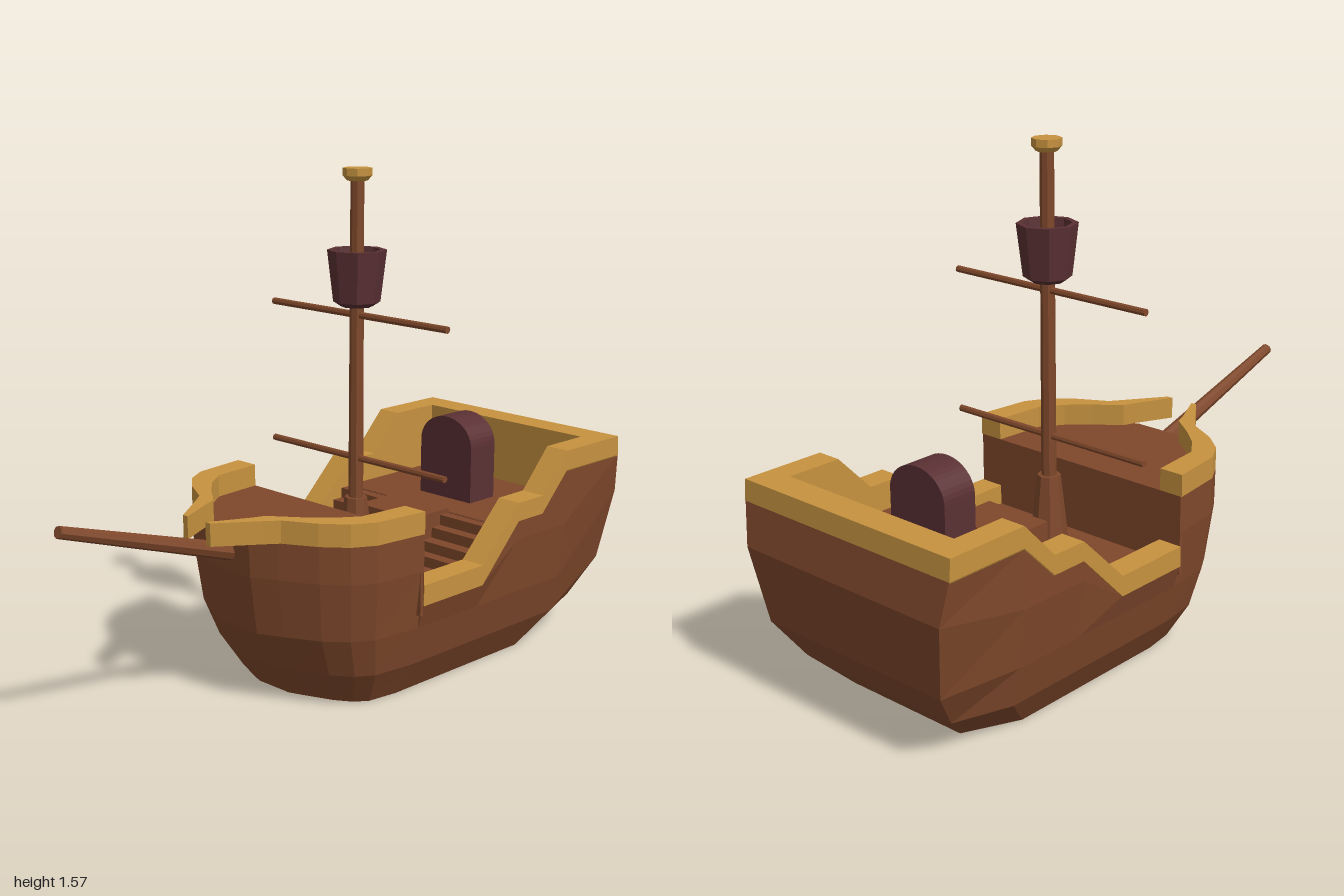
import * as THREE from 'three';

const mat = (name, color) => new THREE.MeshStandardMaterial({ name, color, flatShading: true });

// Joins cross-sections; each section is a list of [x, y, z] points.
function loft(sections, { closeSection = false, closeLoop = false, caps = false } = {}) {
  const pos = [], n = sections.length, m = sections[0].length;
  const tri = (...p) => p.forEach((v) => pos.push(...v));
  for (let i = 0; i < (closeLoop ? n : n - 1); i++) {
    const s = sections[i], t = sections[(i + 1) % n];
    for (let j = 0; j < (closeSection ? m : m - 1); j++) {
      const k = (j + 1) % m;
      tri(s[j], t[j], t[k]);
      tri(s[j], t[k], s[k]);
    }
  }
  if (caps) {
    const a = sections[0], b = sections[n - 1];
    for (let j = 1; j < m - 1; j++) {
      tri(a[0], a[j], a[j + 1]);
      tri(b[0], b[j + 1], b[j]);
    }
  }
  const g = new THREE.BufferGeometry();
  g.setAttribute('position', new THREE.Float32BufferAttribute(pos, 3));
  g.computeVertexNormals();
  return g;
}

// Mirrored sections in reverse order, so that the winding stays outward.
const mirrorZ = (sections) => sections.map((s) => s.map(([x, y, z]) => [x, y, -z])).reverse();

// Horizontal slab with its top at y, from one half of an outline.
function slab(half, y, thick) {
  const pts = [...half, ...half.map(([x, z]) => [x, -z]).reverse()];
  const g = new THREE.ExtrudeGeometry(new THREE.Shape(pts.map(([x, z]) => new THREE.Vector2(x, -z))),
    { depth: thick, bevelEnabled: false });
  return g.rotateX(-Math.PI / 2).translate(0, y - thick, 0);
}

export function createModel() {
  const ship = new THREE.Group();
  ship.name = 'ship';
  const wood = mat('brown wood', 0x7f482b);
  const gold = mat('golden trim', 0xc6923f);
  const maroon = mat('dark maroon wood', 0x5a3033);

  const add = (name, geo, material, parent = ship) => {
    const mesh = new THREE.Mesh(geo, material);
    mesh.name = name;
    parent.add(mesh);
    return mesh;
  };
  const box = (name, x0, x1, y0, y1, z0, z1, material = wood) =>
    add(name, new THREE.BoxGeometry(x1 - x0, y1 - y0, z1 - z0)
      .translate((x0 + x1) / 2, (y0 + y1) / 2, (z0 + z1) / 2), material);

  // Hull stations from bow to stern: x, half width, height of the side
  const stations = [
    [-0.39, 0.09, 0.535], [-0.35, 0.17, 0.535], [-0.29, 0.28, 0.535], [-0.23, 0.35, 0.535],
    [-0.16, 0.39, 0.535], [0.02, 0.41, 0.535], [0.02, 0.41, 0.31], [0.29, 0.41, 0.31],
    [0.46, 0.41, 0.48], [0.58, 0.41, 0.48], [0.7, 0.41, 0.6], [0.98, 0.41, 0.6],
  ];
  // Hull levels: y, bow x, stern x, half width amidships, half width at the stern
  const levels = [
    [0, -0.21, 0.77, 0.3, 0.22], [0.11, -0.29, 0.88, 0.362, 0.3], [0.235, -0.355, 0.965, 0.388, 0.35],
    [0.42, -0.385, 1.0, 0.41, 0.39], [1, -0.39, 0.98, 0.41, 0.41],
  ];
  const side = stations.map(([x, z, top], i) => levels.map(([y, bow, stern, w, ws], k) => {
    const last = i === stations.length - 1;
    let px = x;
    if (x < 0.02) px = 0.02 + (x - 0.02) * (0.02 - bow) / 0.41;
    if (last) px = stern;
    if (x === 0.7 && k === 0) px = 0.6;
    const py = k === 4 ? top : Math.min(k === 3 && last ? 0.47 : y, top);
    return [px, py, last ? ws : z * w / 0.41];
  }));
  add('hull', loft([...side, ...mirrorZ(side)], { closeLoop: true }), wood);
  const keel = side.filter((s, i) => i !== 6).map((s) => [s[0][0], s[0][2]]);
  add('hullBottom', slab(keel, 0.01, 0.01), wood);

  // Decks and the wall below the foredeck
  add('foredeck', slab(stations.slice(0, 6).map(([x, z]) => [x, z - 0.003]), 0.535, 0.03), wood);
  box('foredeckWall', 0.008, 0.02, 0.28, 0.534, -0.408, 0.408);
  box('mainDeck', 0.0, 0.48, 0.28, 0.311, -0.39, 0.39);
  box('aftDeck', 0.46, 0.92, 0.42, 0.45, -0.36, 0.36);
  box('aftDeckWall', 0.455, 0.465, 0.3, 0.449, -0.36, 0.36);

  // Stairs on both sides of a landing
  box('landing', 0.29, 0.46, 0.3, 0.462, -0.12, 0.12);
  for (const s of [-1, 1]) {
    [0.295, 0.335, 0.38, 0.42].forEach((x, i) => {
      const z = [s * 0.12, s * 0.34].sort((a, b) => a - b);
      box('step', x, 0.46, 0.3, 0.311 + 0.034 * (i + 1), z[0], z[1]);
    });
  }

  // Bow rails: x, outer z, inner z
  const bow = [
    [-0.51, 0.06, 0.04], [-0.385, 0.15, 0.1], [-0.345, 0.18, 0.115], [-0.29, 0.28, 0.2],
    [-0.23, 0.35, 0.265], [-0.16, 0.39, 0.315], [0.02, 0.412, 0.33],
  ].map(([x, o, n], i) => {
    const xi = i > 2 && i < 6 ? x + 0.01 : x;
    return [[x, 0.535, o], [x, 0.605, o], [xi, 0.605, n], [xi, 0.535, n]];
  });
  add('bowRailLeft', loft(bow, { closeSection: true, caps: true }), gold);
  add('bowRailRight', loft(mirrorZ(bow), { closeSection: true, caps: true }), gold);

  // Stepped rail around the middle and stern: x, inner x, outer bottom, top, inner bottom
  const rail = [
    [0.02, 0.02, 0.31, 0.375, 0.31], [0.29, 0.29, 0.31, 0.375, 0.31], [0.46, 0.46, 0.48, 0.54, 0.445],
    [0.58, 0.58, 0.48, 0.54, 0.445], [0.7, 0.7, 0.6, 0.665, 0.445], [0.98, 0.88, 0.6, 0.665, 0.445],
  ].map(([x, xi, ob, top, ib]) => [[x, ob, 0.412], [x === 0.98 ? 0.975 : x, top, 0.412], [xi, top, 0.33], [xi, ib, 0.33]]);
  add('sternRail', loft([...rail, ...mirrorZ(rail)], { closeSection: true, caps: true }), gold);

  // Round-topped cabin hatch
  const arch = new THREE.Shape();
  arch.moveTo(-0.11, 0.44);
  arch.lineTo(0.11, 0.44);
  arch.lineTo(0.11, 0.635);
  arch.absellipse(0, 0.635, 0.11, 0.093, 0, Math.PI, false);
  add('cabinHatch', new THREE.ExtrudeGeometry(arch, { depth: 0.12, bevelEnabled: false, curveSegments: 10 })
    .rotateY(Math.PI / 2).translate(0.58, 0, 0), maroon);

  // Mast, yards, lookout basket and cap
  const mast = new THREE.Group();
  mast.name = 'mastGroup';
  mast.position.x = 0.15;
  ship.add(mast);
  add('mast', new THREE.CylinderGeometry(0.021, 0.024, 1.25, 8).translate(0, 0.925, 0), wood, mast);
  add('mastFoot', new THREE.CylinderGeometry(0.036, 0.062, 0.24, 8).translate(0, 0.42, 0), wood, mast);
  for (const y of [0.668, 1.123]) {
    add('yard', new THREE.CylinderGeometry(0.011, 0.011, 0.745, 8).rotateX(Math.PI / 2).translate(0, y, 0), wood, mast);
  }
  const lathe = (pts) => new THREE.LatheGeometry(pts.map(([r, y]) => new THREE.Vector2(r, y)), 8);
  add('lookoutBasket', lathe([[0.001, 1.15], [0.05, 1.15], [0.073, 1.165], [0.092, 1.325],
    [0.074, 1.325], [0.062, 1.2], [0.015, 1.2]]), maroon, mast);
  add('mastCap', lathe([[0.001, 1.535], [0.032, 1.535], [0.045, 1.55], [0.045, 1.573], [0.001, 1.573]]), gold, mast);

  // Bowsprit
  const a = new THREE.Vector3(-0.995, 0.672, 0), b = new THREE.Vector3(-0.33, 0.462, 0);
  const sprit = add('bowsprit', new THREE.CylinderGeometry(0.018, 0.028, a.distanceTo(b), 8), wood);
  sprit.position.copy(a).add(b).multiplyScalar(0.5);
  sprit.quaternion.setFromUnitVectors(new THREE.Vector3(0, 1, 0), a.clone().sub(b).normalize());

  return ship;
}
